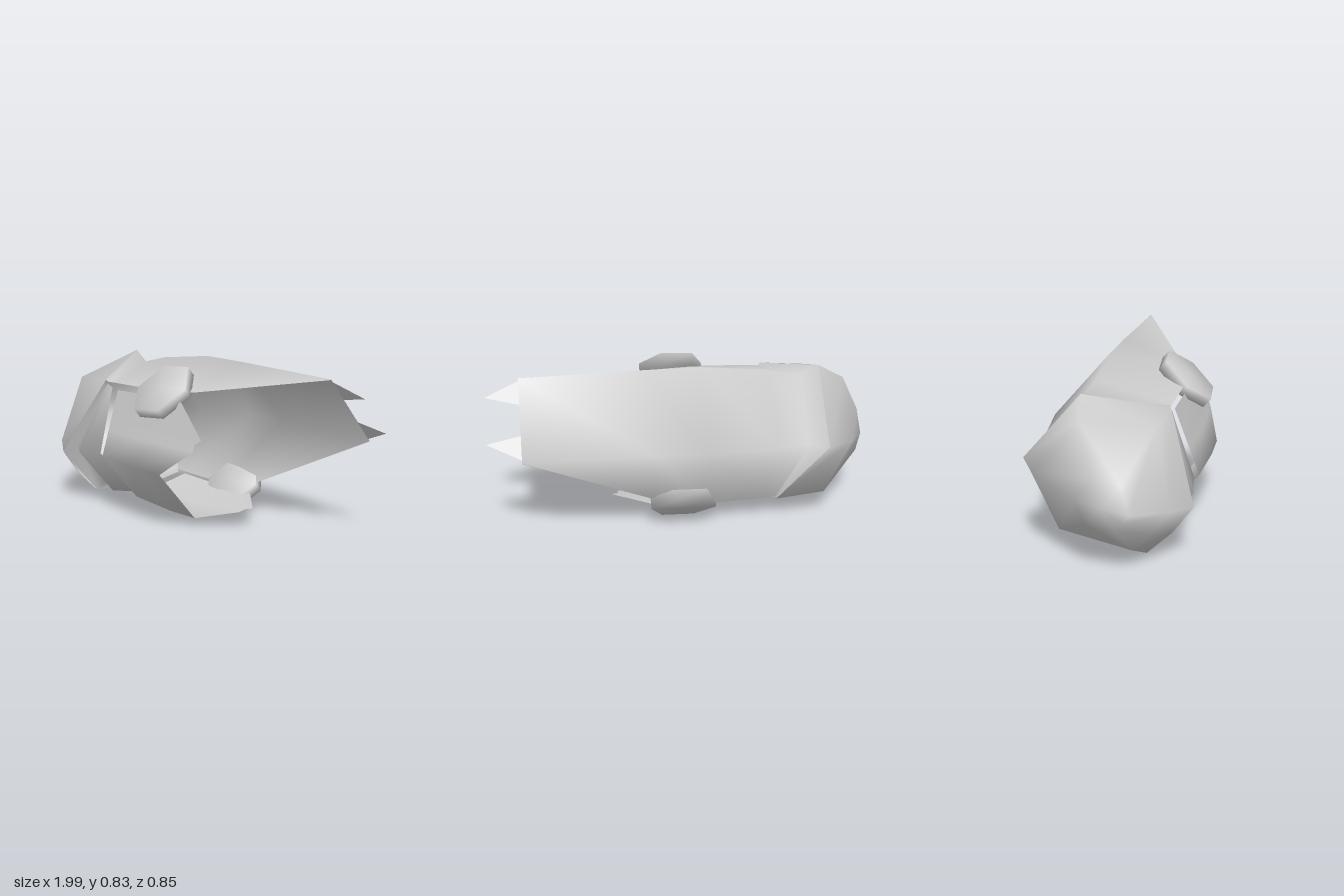
import * as THREE from 'three';
import { mergeVertices } from 'three/addons/utils/BufferGeometryUtils.js';

// Helmet frame: x runs from crown to neck, s is sideways, f is toward the face.
// The whole helmet lies rolled about the x axis.
const place = ([x, s, f]) => [x, 0.423 + 0.759 * s - 0.651 * f, 0.651 * s + 0.759 * f];

// Smooth skin through rows of helmet-frame points
function loft(rows, closed = false) {
  const n = rows[0].length;
  const index = [];
  for (let r = 0; r < rows.length - 1; r++) {
    for (let c = 0; c < (closed ? n : n - 1); c++) {
      const a = r * n + c, b = r * n + ((c + 1) % n);
      index.push(a, b, a + n, b, b + n, a + n);
    }
  }
  const g = new THREE.BufferGeometry();
  g.setAttribute('position', new THREE.Float32BufferAttribute(rows.flat().flatMap(place), 3));
  g.setIndex(index);
  const merged = mergeVertices(g, 1e-4);
  merged.computeVertexNormals();
  return merged;
}

// Mirror a half row (side to centre) to the other side
const mirrored = (half) => [...half, ...half.slice().reverse().map(([x, s, f]) => [x, -s, f])];

export function createModel() {
  const group = new THREE.Group();
  const grey = new THREE.MeshStandardMaterial({ color: 0xcccccc, side: THREE.DoubleSide });
  grey.name = 'plain grey';
  const add = (name, geometry) => {
    const mesh = new THREE.Mesh(geometry, grey);
    mesh.name = name;
    group.add(mesh);
  };

  // Crown: hexagonal dome whose rim dips toward the ears
  const rim = [
    [-0.715, 0.222, -0.33], [-0.49, 0.385, 0.03], [-0.695, 0.172, 0.415],
    [-0.7, 0, 0.43], [-0.695, -0.172, 0.415], [-0.49, -0.385, 0.03], [-0.715, -0.222, -0.33],
  ];
  const ring = (k, sideK, x0, drop, centre) => rim.map(([x, s, f]) =>
    [x0 + (x - x0) * drop, s * (Math.abs(s) > 0.3 ? sideK : k), centre + (f - 0.04) * k]);
  add('crown', loft([
    rim.map(() => [-1, 0, 0.08]),
    ring(0.31, 0.34, -0.985, 0.03, 0.08),
    ring(0.79, 0.94, -0.98, 0.47, 0.035),
    rim,
  ], true));

  // Neck guard: starts at the crown rim, tucks in, then runs back to a straight end
  const guard = [
    // ear edge x, s, f, back corner x, s, f
    [-0.49, 0.385, 0.03, -0.715, 0.222, -0.33],
    [-0.48, 0.37, 0.03, -0.625, 0.19, -0.278],
    [-0.42, 0.375, 0.03, -0.45, 0.212, -0.318],
    [-0.1, 0.385, 0.03, -0.1, 0.232, -0.358],
    [0.18, 0.352, -0.02, 0.18, 0.23, -0.355],
    [0.82, 0.222, -0.33, 0.82, 0.22, -0.334],
  ];
  add('neckGuard', loft(guard.map(([ex, es, ef, bx, bs, bf]) =>
    mirrored([[ex, es, ef], [bx, bs, bf]]).map(([x, s, f]) => [x, s + Math.max(0, x) * 0.012, f]))));

  // Two pointed prongs on the end of the neck guard
  for (const side of [1, -1]) {
    add('prong', loft([
      [[0.82, 0.01 + side * 0.205, -0.333], [0.82, 0.01 + side * 0.08, -0.333]],
      [[0.99, 0.019 + side * 0.121, -0.322], [0.99, 0.019 + side * 0.121, -0.322]],
    ]));
  }

  // Brow band: turns in from the crown rim, then bulges out toward the faceplate
  const brow = [
    // ear edge x, s, f, front corner x, s, f
    [-0.49, 0.385, 0.03, -0.695, 0.172, 0.415],
    [-0.51, 0.34, 0.06, -0.655, 0.155, 0.33],
    [-0.48, 0.37, 0.04, -0.57, 0.167, 0.388],
    [-0.435, 0.355, 0.05, -0.405, 0.164, 0.355],
  ];
  add('browBand', loft(brow.map(([ex, es, ef, fx, fs, ff]) =>
    mirrored([[ex, es, ef], [fx, fs, ff]]))));

  // Faceplate: pointed cheeks that curl in slightly, with a cut-out under the chin.
  // Pairs are [front-to-ear, lower x].
  const cheek = [[1, 0.17], [0.57, 0.365], [0.5, 0.33], [0.39, 0.33], [0, 0.15]];
  const faceRow = (k, xAt) => mirrored(cheek.map(([t, low]) => {
    const x = xAt(low, t);
    const curl = k - 0.3 * Math.max(0, x - 0.17);
    return [x, curl * (0.177 + 0.188 * t), curl * (0.388 - 0.33 * t)];
  }));
  add('faceplate', loft([
    faceRow(0.965, (low, t) => -0.36 - 0.02 * t),
    faceRow(1, () => -0.05),
    faceRow(0.99, (low) => low),
  ]));

  // Six-sided ear discs, slightly turned
  for (const side of [1, -1]) {
    const disc = (r, s) => Array.from({ length: 6 }, (_, i) => {
      const a = (side * i * Math.PI) / 3 - 0.12;
      return [0.005 + r * Math.cos(a), side * s, 0.022 + r * Math.sin(a)];
    });
    add('earDisc', loft([disc(0, 0.342), disc(0.174, 0.342), disc(0.174, 0.402), disc(0, 0.406)], true));
  }
  return group;
}
